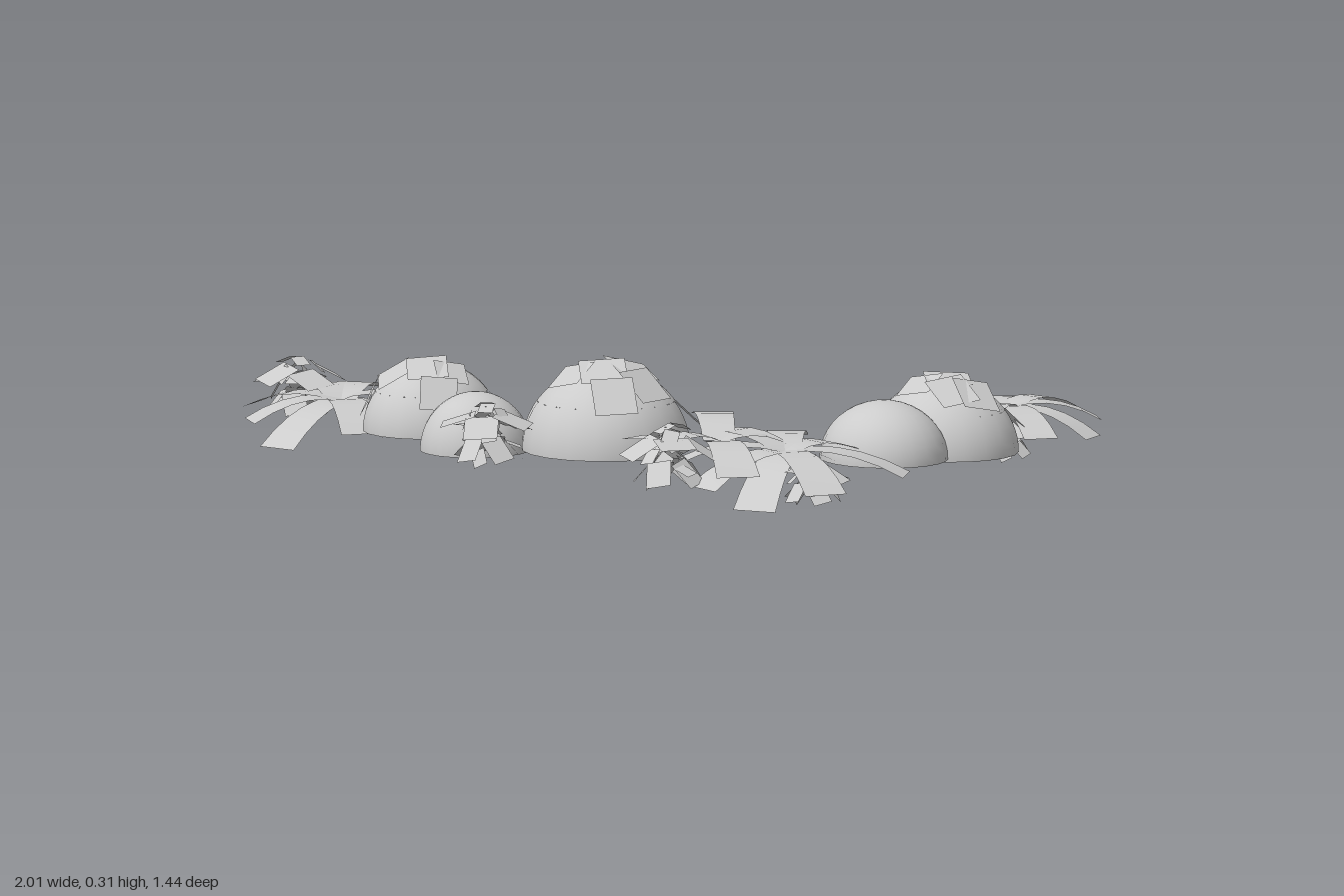
import * as THREE from 'three';

const mat = new THREE.MeshStandardMaterial({ color: 0xcccccc, side: THREE.DoubleSide });

function add(parent, geometry, name) {
  const mesh = new THREE.Mesh(geometry, mat);
  mesh.name = name;
  parent.add(mesh);
  return mesh;
}

function group(parent, name, x, y, z) {
  const g = new THREE.Group();
  g.name = name;
  g.position.set(x, y, z);
  parent.add(g);
  return g;
}

// Arching leaf blade from the origin to a tip, widening outwards
function blade(tx, ty, tz, w, arch) {
  const geo = new THREE.PlaneGeometry(1, 1, 1, 5);
  const p = geo.attributes.position;
  const len = Math.hypot(tx, tz);
  for (let i = 0; i < p.count; i++) {
    const t = 0.5 - p.getY(i);
    const s = p.getX(i) * w * (0.75 + 0.25 * t);
    p.setXYZ(i, tx * t - tz / len * s, ty * t + arch * 4 * t * (1 - t), tz * t + tx / len * s);
  }
  geo.computeVertexNormals();
  return geo;
}

// Small card lying on a dome; dx and dz are measured from the dome's axis
function domeCard(parent, r, h, dx, dz, size, spin) {
  const ny = Math.sqrt(Math.max(0.02, 1 - (dx * dx + dz * dz) / (r * r)));
  const n = new THREE.Vector3(dx / r, ny * r / h, dz / r).normalize();
  const card = add(parent, new THREE.PlaneGeometry(size, size), 'domeLeaf');
  card.quaternion.setFromUnitVectors(new THREE.Vector3(0, 0, 1), n);
  card.rotateZ(spin);
  card.rotateX(0.1);
  card.position.set(dx, ny * h, dz).addScaledVector(n, 0.004);
}

// Card at azimuth a and distance d from the centre, tipped down by droop
function ringCard(parent, name, a, d, y, w, l, droop, roll) {
  const card = add(parent, new THREE.PlaneGeometry(w, l), name);
  card.position.set(Math.cos(a) * d, y, Math.sin(a) * d);
  card.rotation.set(droop - Math.PI / 2, Math.PI / 2 - a, roll, 'YXZ');
}

// Plain half-round moss mound
function mound(parent, x, y, z, r, h) {
  const g = group(parent, 'mossMound', x, y, z);
  add(g, new THREE.SphereGeometry(r, 24, 10, 0, Math.PI * 2, 0, Math.PI / 2), 'mound').scale.y = h / r;
}

// Leafy mound: full cap, lower wall open at the back, cards and corner leaves
function bush(parent, x, y, z, r, h, cards) {
  const g = group(parent, 'leafyBush', x, y, z);
  const cap = 0.95;
  add(g, new THREE.SphereGeometry(r, 20, 6, 0, Math.PI * 2, 0, cap), 'cap').scale.y = h / r;
  const wall = new THREE.SphereGeometry(r, 16, 6, -Math.PI * 0.42, Math.PI * 1.58, cap, Math.PI / 2 - cap);
  add(g, wall, 'wall').scale.y = h / r;
  for (const [dx, dz, size, spin] of cards) domeCard(g, r, h, dx, dz, size, spin);
  // Flared leaves at the back corners
  for (const a of [-2.45, -0.85]) ringCard(g, 'rimLeaf', a, r * 0.96, h * 0.42, r * 0.5, r * 0.55, 0.75, 0.1);
}

// Spray of broad blades; tips are [x, y, z] in model space
function fern(parent, x, y, z, w, tips) {
  const g = group(parent, 'fern', x, y, z);
  for (const [tx, ty, tz] of tips) add(g, blade(tx - x, ty - y, tz - z, w, 0.025), 'fernBlade');
}

// Blossom: two rings of tilted square petals round a crumpled centre
function blossom(parent, x, y, z, r, seed) {
  const g = group(parent, 'blossom', x, y, z);
  for (let i = 0; i < 5; i++) {
    const a = seed + i * Math.PI * 0.4;
    ringCard(g, 'petal', a, r * 0.62, r * (0.2 + 0.12 * Math.sin(i * 2)), r * 0.72, r * 0.75,
      0.3 + 0.25 * Math.sin(i * 2 + seed), 0.3 * Math.cos(i * 3 + seed));
    ringCard(g, 'lowerPetal', a + 0.6, r * 0.5, -r * 0.3, r * 0.5, r * 0.6, 0.85, 0.25);
  }
  for (let i = 0; i < 16; i++) {
    ringCard(g, 'innerPetal', seed + i * 2.4, r * (0.1 + 0.03 * i), r * (0.55 - 0.13 * (i % 9)),
      r * 0.32, r * 0.38, 0.4 + 0.35 * (i % 3), 0.5 * Math.sin(i));
  }
}

export function createModel() {
  const root = new THREE.Group();
  root.name = 'plantBorder';

  mound(root, -0.15, 0.075, 0.455, 0.135, 0.14);
  mound(root, 0.705, 0.075, -0.025, 0.152, 0.138);

  bush(root, -0.38, 0.09, 0.35, 0.172, 0.167, [
    [-0.04, -0.02, 0.1, 0.7], [0.03, 0.05, 0.1, 0.6], [-0.05, 0.08, 0.09, 0.9],
    [0.08, 0.02, 0.08, 0.5], [0.1, 0.09, 0.09, 0.2], [-0.12, 0.09, 0.09, 0.4],
  ]);
  bush(root, 0.165, 0.095, 0.35, 0.202, 0.197, [
    [-0.06, -0.01, 0.11, 0.3], [0.05, -0.03, 0.11, 0.8], [0.03, 0.05, 0.11, 0.6],
    [-0.04, 0.08, 0.09, 0.2], [0.12, 0.01, 0.1, 0.9], [0.1, 0.1, 0.1, 0.4],
  ]);
  bush(root, 0.735, 0.068, -0.245, 0.182, 0.173, [
    [0.01, 0, 0.11, 0.6], [0.06, 0.06, 0.1, 0.8], [0.1, 0.02, 0.1, 0.5], [-0.03, 0.06, 0.09, 0.2],
  ]);

  fern(root, 0.77, 0.15, -0.49, 0.088, [
    [0.5, 0.12, -0.47], [0.64, 0.12, -0.68], [0.81, 0.13, -0.71], [0.95, 0.12, -0.63],
    [1.0, 0.09, -0.51], [0.94, 0.1, -0.36], [0.8, 0.13, -0.3], [0.6, 0.12, -0.35],
  ]);
  fern(root, 0.63, 0.125, 0.28, 0.1, [
    [0.48, 0.12, 0.05], [0.69, 0.1, 0.07], [0.89, 0.08, 0.17], [0.83, 0.06, 0.41],
    [0.69, 0.02, 0.49], [0.56, 0.06, 0.51], [0.43, 0.1, 0.42], [0.39, 0.14, 0.25],
  ]);
  fern(root, 0.48, 0.14, 0.33, 0.1, [
    [0.33, 0.17, 0.15], [0.6, 0.12, 0.2], [0.64, 0.09, 0.48], [0.4, 0.13, 0.48],
  ]);
  fern(root, -0.7, 0.135, 0.33, 0.11, [
    [-0.78, 0.14, 0.14], [-0.87, 0.14, 0.24], [-0.94, 0.11, 0.41], [-0.83, 0.09, 0.53],
    [-0.69, 0.04, 0.58], [-0.5, 0.08, 0.47], [-0.46, 0.07, 0.38], [-0.55, 0.12, 0.23],
  ]);

  blossom(root, -0.875, 0.15, 0.3, 0.12, 0.4);
  blossom(root, 0.02, 0.15, 0.615, 0.11, 1.1);
  blossom(root, 0.46, 0.125, 0.5, 0.115, 2.0);
  blossom(root, 0.76, 0.075, -0.5, 0.09, 0.8);
  blossom(root, 0.72, 0.07, 0.3, 0.09, 2.6);

  return root;
}
